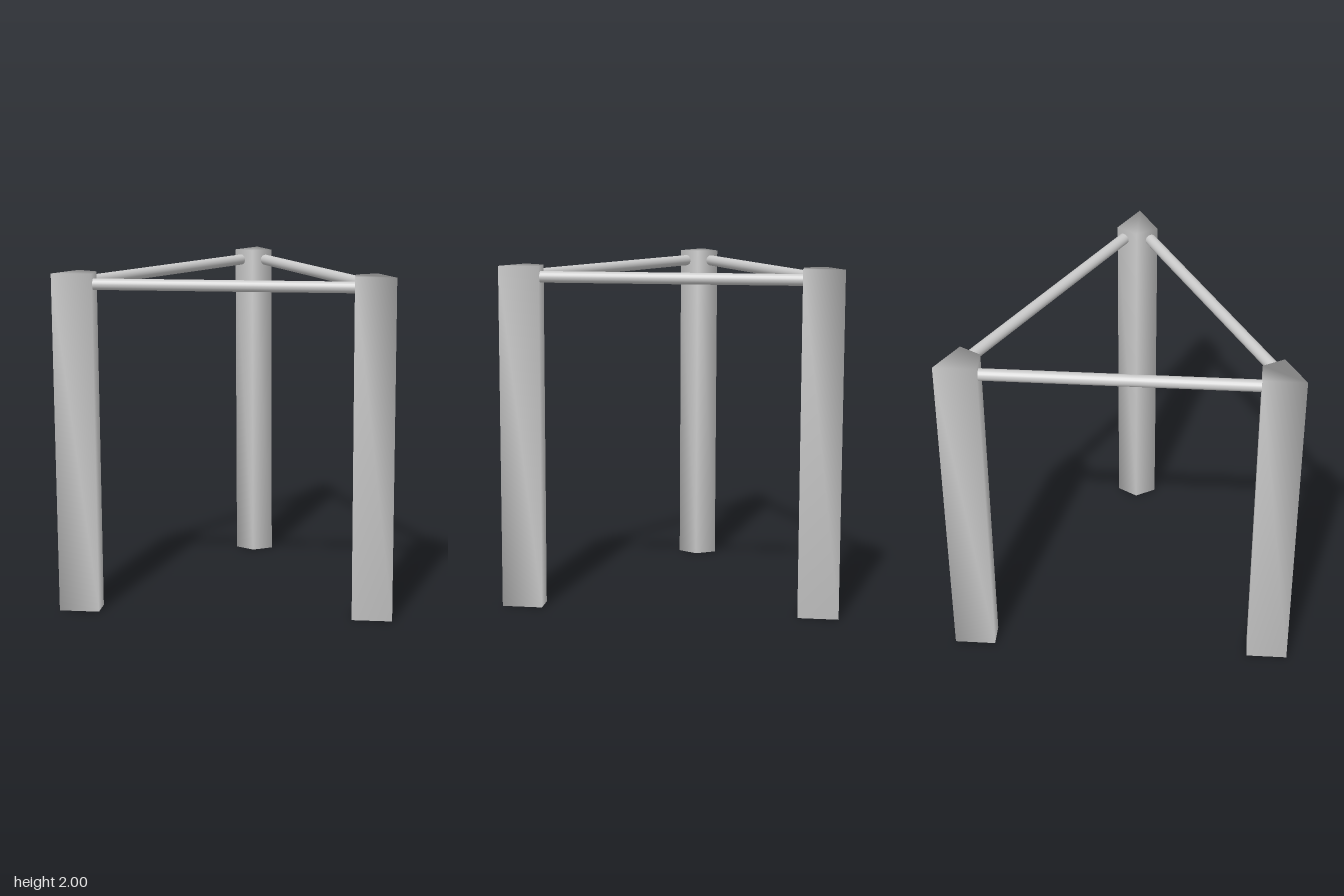
import * as THREE from 'three';
import { mergeVertices } from 'three/addons/utils/BufferGeometryUtils.js';

const HEIGHT = 2;
const CENTRE_Z = -0.285; // centre of the triangular plan

// Weld every corner so the shading runs smoothly round the edges
function weld(geometry) {
  geometry.deleteAttribute('normal');
  geometry.deleteAttribute('uv');
  const welded = mergeVertices(geometry, 1e-4);
  welded.computeVertexNormals();
  return welded;
}

// Kite-shaped prism, its point facing outwards (+z)
function legGeometry() {
  const kite = [[0, 1.135], [0.118, 0.931], [0, 0.862], [-0.118, 0.931]];
  const shape = new THREE.Shape(kite.map(([x, z]) => new THREE.Vector2(x, -z)));
  const geometry = new THREE.ExtrudeGeometry(shape, { depth: HEIGHT, bevelEnabled: false });
  geometry.rotateX(-Math.PI / 2);
  return weld(geometry);
}

// Round rail along x, on the side opposite the leg
function railGeometry() {
  const geometry = new THREE.CylinderGeometry(0.033, 0.033, 1.54, 20);
  geometry.rotateZ(Math.PI / 2);
  geometry.translate(0, 1.937, -0.523);
  return geometry;
}

export function createModel() {
  const model = new THREE.Group();
  model.name = 'threeLeggedFrame';
  const material = new THREE.MeshStandardMaterial({ color: 0xcccccc });
  const leg = legGeometry();
  const rail = railGeometry();

  // One leg and one rail for each third of a turn
  ['front', 'backLeft', 'backRight'].forEach((name, i) => {
    const side = new THREE.Group();
    side.name = name + 'Section';
    const legMesh = new THREE.Mesh(leg, material);
    legMesh.name = name + 'Leg';
    const railMesh = new THREE.Mesh(rail, material);
    railMesh.name = ['back', 'right', 'left'][i] + 'Rail';
    side.add(legMesh, railMesh);
    side.rotation.y = (i * 2 * Math.PI) / 3;
    side.position.z = CENTRE_Z;
    model.add(side);
  });
  return model;
}
